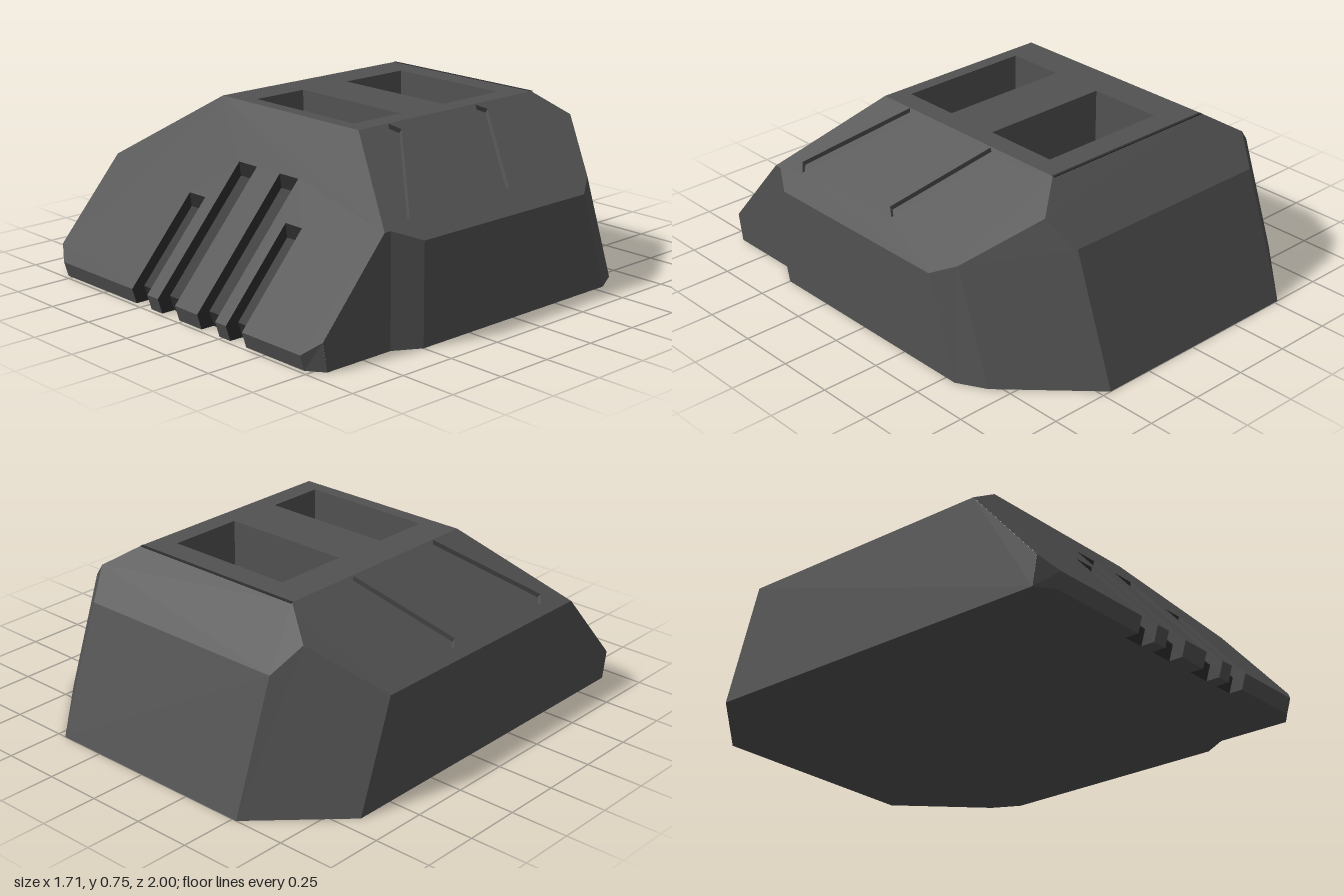
import * as THREE from 'three';

const V = (x, y, z) => new THREE.Vector3(x, y, z);
const CENTER = V(0, 0.35, 0);

// Flat polygon (with optional holes) turned to face the hint direction
function face(points, hint, holes = []) {
  const n = V(0, 0, 0);
  points.forEach((p, i) => n.add(p.clone().cross(points[(i + 1) % points.length])));
  n.normalize();
  const mid = points.reduce((s, p) => s.add(p), V(0, 0, 0)).divideScalar(points.length);
  if (n.dot(hint || mid.clone().sub(CENTER)) < 0) n.negate();
  const u = Math.abs(n.y) > 0.9 ? V(1, 0, 0) : V(0, 1, 0);
  u.addScaledVector(n, -u.dot(n)).normalize();
  const w = n.clone().cross(u);
  const flat = (p) => new THREE.Vector2(p.dot(u), p.dot(w));
  const sorted = (loop, ccw) =>
    (THREE.ShapeUtils.area(loop.map(flat)) > 0) === ccw ? loop : loop.slice().reverse();
  const outer = sorted(points, true);
  const inner = holes.map((h) => sorted(h, false));
  const all = [outer, ...inner].flat();
  const tris = THREE.ShapeUtils.triangulateShape(outer.map(flat), inner.map((h) => h.map(flat)));
  const geo = new THREE.BufferGeometry();
  geo.setFromPoints(tris.flat().map((i) => all[i]));
  geo.computeVertexNormals();
  return { geo, normal: n };
}

export function createModel() {
  const group = new THREE.Group();
  const mat = (name, color) => {
    const m = new THREE.MeshStandardMaterial({ color });
    m.name = name;
    return m;
  };
  const shell = mat('shellGrey', 0x525252);
  const dark = mat('recessDark', 0x2e2e2e);
  const red = mat('stripRed', 0x560e10);
  const orange = mat('stripOrange', 0xd0640f);

  const add = (name, geo, m) => {
    const mesh = new THREE.Mesh(geo, m);
    mesh.name = name;
    group.add(mesh);
    return mesh;
  };
  const pts = (list) => list.map((p) => V(...p));

  // Panel with sunken recesses, each with walls and a floor
  function panel(name, list, recesses = [], depth = 0, floorMat = shell) {
    const { geo, normal } = face(pts(list), null, recesses);
    add(name, geo, shell);
    recesses.forEach((loop) => {
      const low = loop.map((p) => p.clone().addScaledVector(normal, -depth));
      const mid = loop.reduce((s, p) => s.add(p), V(0, 0, 0)).divideScalar(loop.length);
      loop.forEach((a, i) => {
        const j = (i + 1) % loop.length;
        const hint = mid.clone().sub(a.clone().add(loop[j]).multiplyScalar(0.5));
        add(name + 'RecessWall', face([a, loop[j], low[j], low[i]], hint).geo, shell);
      });
      add(name + 'RecessFloor', face(low, normal).geo, floorMat);
    });
  }

  // Top deck with two deep openings
  const deckY = 0.745;
  const opening = (x0, x1, z0, z1) =>
    pts([[x0, deckY, z0], [x1, deckY, z0], [x1, deckY, z1], [x0, deckY, z1]]);
  panel('topDeck', [[-0.44, deckY, -0.6], [0.39, deckY, -0.6], [0.39, deckY, 0.4], [-0.44, deckY, 0.4]],
    [opening(-0.285, 0.3, -0.49, -0.16), opening(-0.29, 0.3, 0.085, 0.34)], 0.32, dark);

  // Coloured strips on the floors of the openings
  [['rearRedStrip', -0.385, -0.305, red], ['rearOrangeStrip', -0.305, -0.23, orange],
    ['frontRedStrip', 0.195, 0.27, red]].forEach(([name, z0, z1, m]) => {
    const strip = add(name, new THREE.BoxGeometry(0.575, 0.008, z1 - z0), m);
    strip.position.set(0.01, deckY - 0.316, (z0 + z1) / 2);
  });

  // Sloping shoulders with slanted shallow grooves
  const slant = (x0, z0, x1, z1) => {
    const d = new THREE.Vector2(x1 - x0, z1 - z0).normalize().multiplyScalar(0.026);
    const at = (x, z) => V(x, deckY - (Math.abs(x + 0.025) - 0.415) * 0.6875, z);
    return [at(x0 - d.y, z0 + d.x), at(x1 - d.y, z1 + d.x), at(x1 + d.y, z1 - d.x), at(x0 + d.y, z0 - d.x)];
  };
  panel('leftShoulder', [[0.39, deckY, 0.4], [0.79, 0.47, 0.643], [0.79, 0.47, 0.61], [0.855, 0.425, 0.5],
    [0.855, 0.425, -0.41], [0.79, 0.47, -0.505], [0.525, 0.652, -0.7], [0.39, deckY, -0.6]],
  [slant(0.408, -0.275, 0.74, -0.05), slant(0.408, 0.22, 0.75, 0.51)], 0.022);
  panel('rightShoulder', [[-0.44, deckY, 0.4], [-0.855, 0.46, 0.651], [-0.855, 0.46, -0.508],
    [-0.59, 0.648, -0.7], [-0.44, deckY, -0.6]],
  [slant(-0.458, -0.275, -0.8, -0.06), slant(-0.458, 0.22, -0.8, 0.51)], 0.022);

  // Sides, including the bulge on the left
  panel('rightSide', [[-0.855, 0, -0.67], [-0.855, 0.46, -0.508], [-0.855, 0.46, 0.651],
    [-0.855, 0.12, 0.951], [-0.855, 0, 0.93]]);
  panel('leftFrontSide', [[0.79, 0, 0.61], [0.79, 0.47, 0.61], [0.79, 0.47, 0.643],
    [0.79, 0.12, 0.951], [0.79, 0, 0.93]]);
  panel('leftBulgeFront', [[0.79, 0, 0.61], [0.855, 0, 0.5], [0.855, 0.425, 0.5], [0.79, 0.47, 0.61]]);
  panel('leftBulgeSide', [[0.855, 0, 0.5], [0.855, 0.425, 0.5], [0.855, 0.425, -0.41], [0.855, 0, -0.55]]);
  panel('leftBulgeRear', [[0.79, 0, -0.67], [0.855, 0, -0.55], [0.855, 0.425, -0.41], [0.79, 0.47, -0.505]]);

  // Rear faces
  panel('rearFace', [[-0.52, 0, -1], [0.46, 0, -1], [0.46, 0.54, -0.81], [-0.52, 0.54, -0.81]]);
  panel('rearBevel', [[-0.44, deckY, -0.6], [0.39, deckY, -0.6], [0.525, 0.652, -0.7],
    [0.46, 0.54, -0.81], [-0.52, 0.54, -0.81], [-0.59, 0.648, -0.7]]);
  panel('rearLeftCorner', [[0.46, 0, -1], [0.79, 0, -0.67], [0.79, 0.47, -0.505],
    [0.525, 0.652, -0.7], [0.46, 0.54, -0.81]]);
  panel('rearRightCorner', [[-0.52, 0, -1], [-0.855, 0, -0.67], [-0.855, 0.46, -0.508],
    [-0.59, 0.648, -0.7], [-0.52, 0.54, -0.81]]);
  add('rearSeam', new THREE.BoxGeometry(0.83, 0.004, 0.012), dark).position.set(-0.025, 0.744, -0.602);

  // Front slope and its lower lip, notched by four vertical grooves
  const frontZ = (y) => 1 - (y - 0.065) * (0.6 / 0.68);
  const onFront = (x, y) => [x, y, frontZ(y)];
  const grooves = [[-0.3, -0.2, 0.41], [-0.13, -0.02, 0.55], [0.12, 0.23, 0.55], [0.295, 0.39, 0.41]];
  const notched = [], bottomEdge = [];
  let lipStart = -0.78;
  const lip = (x0, x1) =>
    panel('frontLip', [[x0, 0.065, 1], [x1, 0.065, 1], [x1, 0, 0.98], [x0, 0, 0.98]]);
  grooves.forEach(([x0, x1, top]) => {
    notched.push(onFront(x0, 0.065), onFront(x0, top), onFront(x1, top), onFront(x1, 0.065));
    bottomEdge.push([x0, 0, 0.98], [x0, 0, 0.92], [x1, 0, 0.92], [x1, 0, 0.98]);
    lip(lipStart, x0);
    lipStart = x1;
    const knee = top - 0.06;
    const profile = [[top, frontZ(top)], [knee, frontZ(knee) - 0.06], [0.065, 0.94], [0, 0.92]];
    for (let i = 0; i < 3; i++) {
      const [[ya, za], [yb, zb]] = [profile[i], profile[i + 1]];
      const quad = pts([[x0, ya, za], [x1, ya, za], [x1, yb, zb], [x0, yb, zb]]);
      add('frontGrooveFloor', face(quad, V(0, 0, 1)).geo, dark);
    }
    [[x0, 1], [x1, -1]].forEach(([x, s]) => {
      const wall = [...profile, [0, 0.98], [0.065, 1]].map(([y, z]) => V(x, y, z));
      add('frontGrooveWall', face(wall, V(s, 0, 0)).geo, dark);
    });
  });
  lip(lipStart, 0.72);
  panel('frontSlope', [onFront(-0.855, 0.12), onFront(-0.78, 0.065), ...notched, onFront(0.72, 0.065),
    onFront(0.79, 0.12), onFront(0.79, 0.47), onFront(0.39, deckY), onFront(-0.44, deckY), onFront(-0.855, 0.46)]);
  [[-0.78, -0.855], [0.72, 0.79]].forEach(([a, b]) =>
    panel('frontCorner', [onFront(b, 0.12), onFront(a, 0.065), [a, 0, 0.98], [b, 0, 0.93]]));

  // Underside
  panel('underside', [[-0.855, 0, 0.93], [-0.78, 0, 0.98], ...bottomEdge, [0.72, 0, 0.98], [0.79, 0, 0.93],
    [0.79, 0, 0.61], [0.855, 0, 0.5], [0.855, 0, -0.55], [0.79, 0, -0.67], [0.46, 0, -1],
    [-0.52, 0, -1], [-0.855, 0, -0.67]]);

  return group;
}
